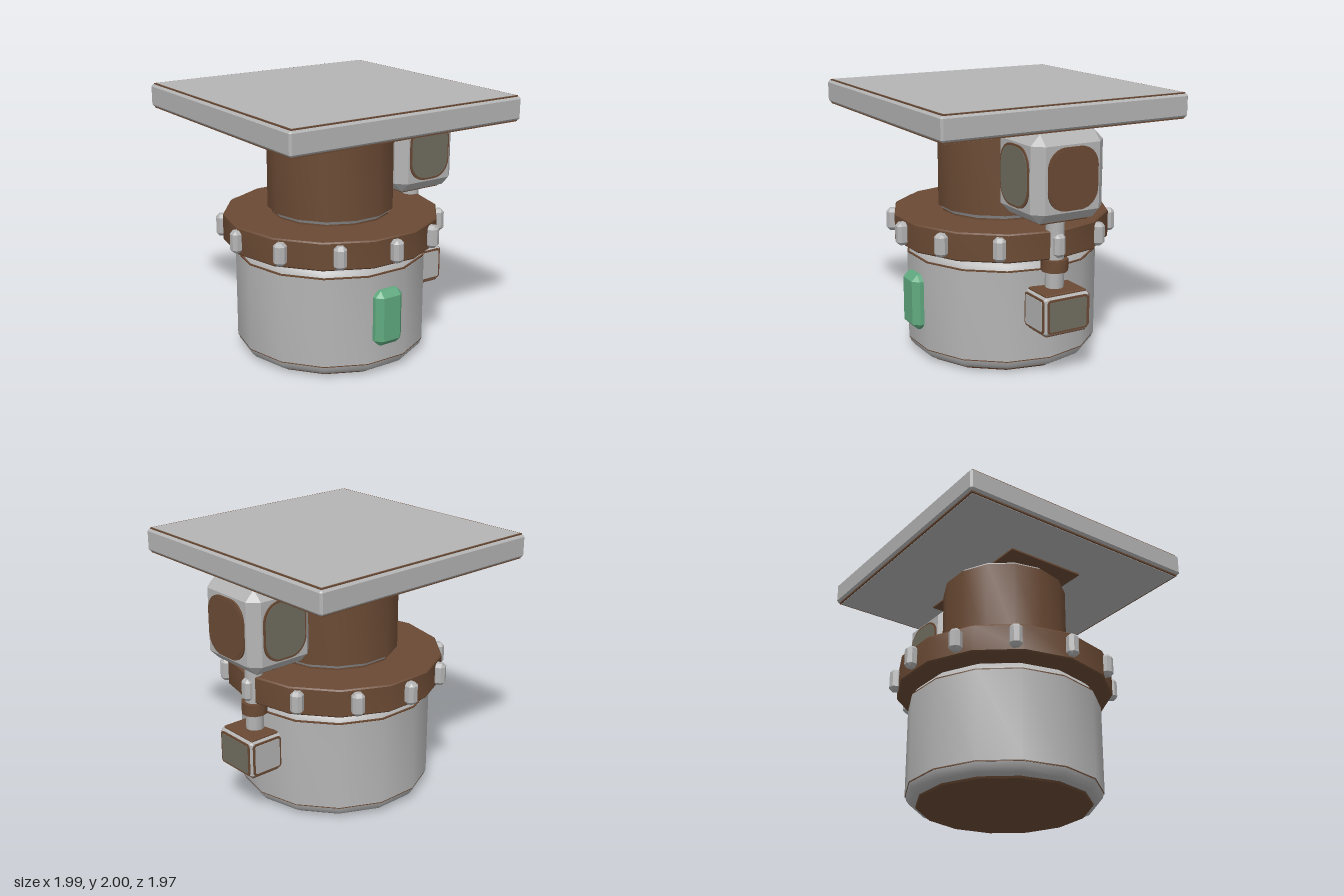
import * as THREE from 'three';
import { toCreasedNormals } from 'three/addons/utils/BufferGeometryUtils.js';
import { ConvexGeometry } from 'three/addons/geometries/ConvexGeometry.js';

const paint = (name, color) => {
  const m = new THREE.MeshStandardMaterial({ color });
  m.name = name;
  return m;
};

export function createModel() {
  const grey = paint('light grey', 0xb4b4b4);
  const brown = paint('brown', 0x6b4a34);
  const olive = paint('olive grey', 0x716d60);
  const green = paint('green', 0x60aa7f);

  const model = new THREE.Group();
  const AXIS = -0.01;

  const add = (name, geometry, material, x = 0, y = 0, z = 0, parent = model) => {
    const mesh = new THREE.Mesh(geometry, material);
    mesh.name = name;
    mesh.position.set(x, y, z);
    parent.add(mesh);
    return mesh;
  };

  // Box with every edge chamfered by c
  const bevelBox = (w, h, d, c) => {
    const pts = [];
    for (const sx of [-1, 1]) for (const sy of [-1, 1]) for (const sz of [-1, 1]) {
      const x = w / 2, y = h / 2, z = d / 2;
      pts.push(
        new THREE.Vector3(sx * x, sy * (y - c), sz * (z - c)),
        new THREE.Vector3(sx * (x - c), sy * y, sz * (z - c)),
        new THREE.Vector3(sx * (x - c), sy * (y - c), sz * z));
    }
    return new ConvexGeometry(pts);
  };

  // Fourteen-sided turned part, profile given from bottom to top
  const turned = (name, profile, material) => {
    const g = new THREE.LatheGeometry(profile.map(p => new THREE.Vector2(...p)), 14);
    g.rotateY(Math.PI / 2);
    return add(name, toCreasedNormals(g, 0.6), material, AXIS);
  };

  // Flat panel with rounded corners, facing +z, back at z = 0
  const panel = (w, h, r, depth) => {
    const s = new THREE.Shape();
    const x = w / 2, y = h / 2;
    s.moveTo(-x + r, -y);
    s.lineTo(x - r, -y);
    s.absarc(x - r, -y + r, r, -Math.PI / 2, 0);
    s.absarc(x - r, y - r, r, 0, Math.PI / 2);
    s.absarc(-x + r, y - r, r, Math.PI / 2, Math.PI);
    s.absarc(-x + r, -y + r, r, Math.PI, Math.PI * 1.5);
    return new THREE.ExtrudeGeometry(s, { depth, bevelEnabled: false, curveSegments: 5 });
  };

  // Brown frame with an inset-coloured face, turned around y
  const framedPanel = (name, w, h, r, depth, face, pos, turn) => {
    const g = new THREE.Group();
    g.name = name;
    g.position.set(...pos);
    g.rotation.y = turn;
    add(name + 'Frame', panel(w, h, r, depth), brown, 0, 0, 0, g);
    add(name + 'Face', panel(w - 0.03, h - 0.03, r - 0.01, 0.004), face, 0, 0, depth, g);
    model.add(g);
  };

  // Base drum
  turned('baseFoot', [[0, 0], [0.64, 0], [0.65, 0.016], [0, 0.016]], brown);
  turned('baseLowerRim', [[0, 0.014], [0.65, 0.014], [0.69, 0.03], [0.715, 0.06], [0.725, 0.095], [0, 0.095]], grey);
  turned('lowerSeam', [[0, 0.092], [0.728, 0.092], [0.728, 0.103], [0, 0.103]], brown);
  turned('baseDrum', [[0, 0.1], [0.73, 0.1], [0.73, 0.772], [0, 0.772]], grey);
  turned('upperSeam', [[0, 0.77], [0.728, 0.77], [0.728, 0.782], [0, 0.782]], brown);
  turned('baseUpperRim', [[0, 0.78], [0.715, 0.78], [0.7, 0.815], [0.67, 0.845], [0.63, 0.86], [0, 0.86]], grey);
  turned('baseCap', [[0, 0.858], [0.62, 0.858], [0.62, 0.875], [0, 0.875]], brown);

  // Studded ring
  turned('ring', [[0, 0.87], [0.81, 0.87], [0.82, 0.88], [0.82, 1.07], [0.81, 1.08], [0, 1.08]], brown);
  const studGeometry = bevelBox(0.09, 0.17, 0.09, 0.025);
  for (let i = 0; i < 12; i++) {
    const a = i * Math.PI / 6;
    const stud = add('ringStud', studGeometry, grey,
      AXIS + 0.825 * Math.sin(a), 0.975, 0.825 * Math.cos(a));
    stud.rotation.y = a;
  }

  // Neck
  turned('neckSeat', [[0, 1.07], [0.45, 1.07], [0.45, 1.098], [0, 1.098]], brown);
  turned('neckLowerCollar', [[0, 1.095], [0.455, 1.095], [0.475, 1.125], [0, 1.125]], grey);
  turned('neck', [[0, 1.122], [0.482, 1.122], [0.482, 1.77], [0, 1.77]], brown);
  turned('neckUpperCollar', [[0, 1.768], [0.475, 1.768], [0.45, 1.8], [0, 1.8]], grey);
  add('neckBracket', new THREE.BoxGeometry(1.1, 0.025, 0.64), brown, AXIS, 1.808);

  // Top platform with inset panels above and below
  add('platform', bevelBox(1.965, 0.168, 1.965, 0.015), grey, AXIS, 1.906);
  add('platformTrim', new THREE.BoxGeometry(1.925, 0.188, 1.925), brown, AXIS, 1.905);
  for (const y of [1.811, 1.998])
    add('platformPanel', new THREE.BoxGeometry(1.9, 0.006, 1.9), grey, AXIS, y);

  // Green front light
  add('frontLight', bevelBox(0.235, 0.425, 0.14, 0.045), green, -0.015, 0.448, 0.718);

  // Upper housing with windows on its sides
  const hx = 0.705, hy = 1.488;
  add('upperHousing', bevelBox(0.55, 0.62, 0.585, 0.075), grey, hx, hy);
  for (const y of [1.174, 1.805])
    add('upperHousingCap', bevelBox(0.36, 0.024, 0.39, 0.005), brown, hx, y);
  for (const s of [1, -1]) {
    framedPanel('upperWindow', 0.375, 0.44, 0.14, 0.012, olive,
      [hx, hy, s * 0.29], s > 0 ? 0 : Math.PI);
    framedPanel('upperSidePanel', 0.4, 0.44, 0.14, 0.016, brown,
      [hx + s * 0.273, hy, 0], s * Math.PI / 2);
  }

  // Rod joining the two housings
  add('rod', toCreasedNormals(new THREE.CylinderGeometry(0.068, 0.068, 0.54, 10), 0.7), grey, 0.765, 0.91);
  add('rodCollar', toCreasedNormals(new THREE.CylinderGeometry(0.098, 0.098, 0.09, 10), 0.7), brown, 0.765, 0.825);

  // Lower housing
  const lx = 0.805, ly = 0.504;
  add('lowerHousing', bevelBox(0.28, 0.28, 0.37, 0.018), grey, lx, ly);
  for (const y of [0.361, 0.648])
    add('lowerHousingCap', bevelBox(0.24, 0.02, 0.335, 0.005), brown, lx, y);
  framedPanel('lowerWindow', 0.335, 0.25, 0.025, 0.01, olive, [lx + 0.138, ly, 0], Math.PI / 2);
  for (const s of [1, -1])
    framedPanel('lowerSidePanel', 0.25, 0.25, 0.025, 0.01, grey,
      [lx, ly, s * 0.183], s > 0 ? 0 : Math.PI);

  return model;
}
